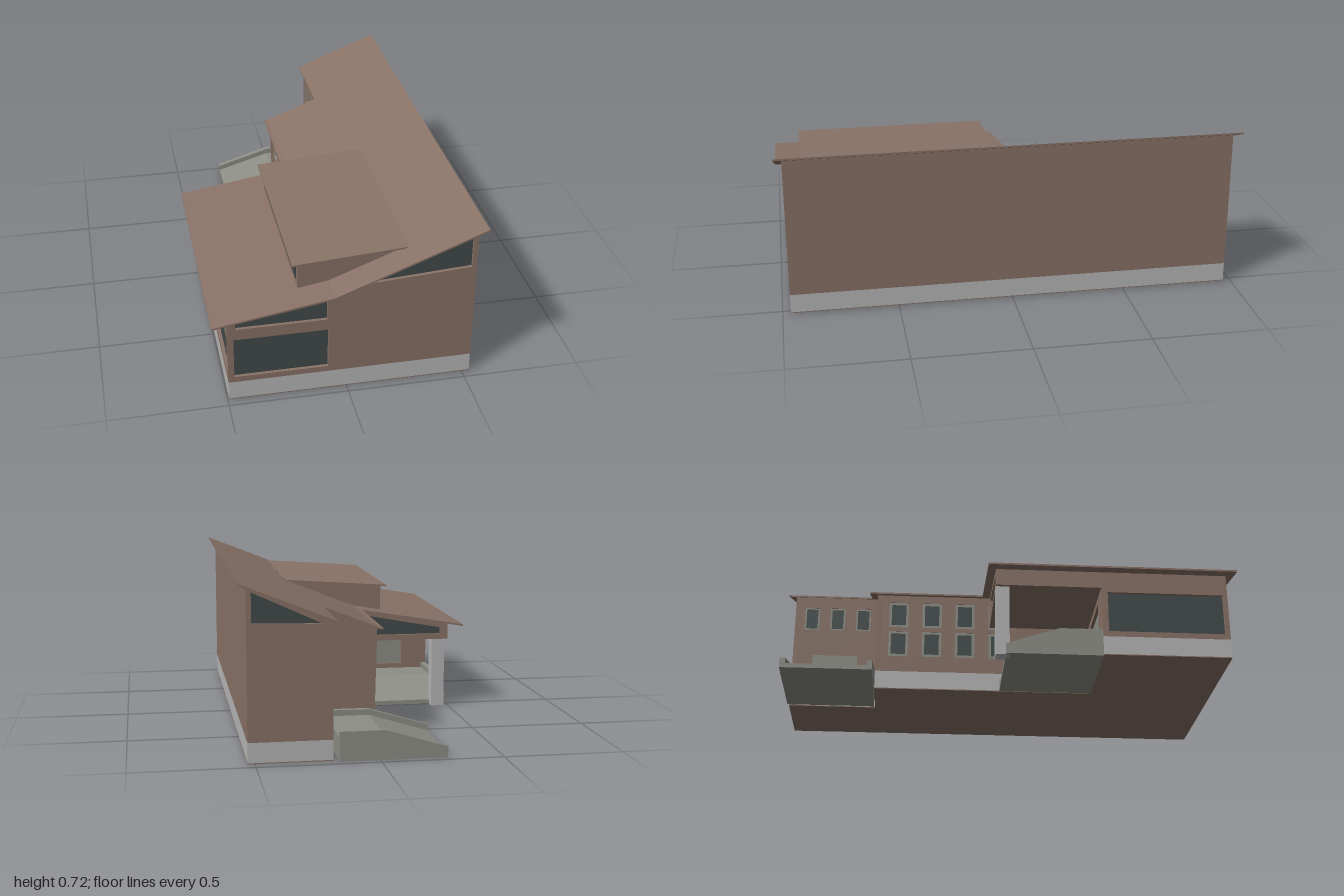
import * as THREE from 'three';

const mat = (name, color, side = THREE.FrontSide) => {
  const m = new THREE.MeshStandardMaterial({ color, side });
  m.name = name;
  return m;
};

export function createModel() {
  const model = new THREE.Group();
  model.name = 'house';
  const brown = mat('brown cladding', 0x8a7367);
  const concrete = mat('light concrete', 0xb8b8b8);
  const glass = mat('dark glass', 0x424b4a, THREE.DoubleSide);
  const stone = mat('green grey stone', 0x8d8f86);

  const toShape = (pts) => new THREE.Shape(pts.map(([x, y]) => new THREE.Vector2(x, y)));
  const rect = (u0, u1, v0, v1) => [[u0, v0], [u1, v0], [u1, v1], [u0, v1]];
  const add = (parent, name, geometry, material) => {
    const mesh = new THREE.Mesh(geometry, material);
    mesh.name = name;
    parent.add(mesh);
    return mesh;
  };
  // Prism from a side profile, running from z0 to z1
  const prism = (pts, z0, z1, holes = []) => {
    const s = toShape(pts);
    holes.forEach((h) => s.holes.push(toShape(h)));
    return new THREE.ExtrudeGeometry(s, { depth: z1 - z0, bevelEnabled: false }).translate(0, 0, z0);
  };

  // Roof line: shallow slope on the low side, steeper on the high side
  const roofY = (x) => (x < -0.06 ? 0.393 + (x + 0.56) * 0.164 : 0.475 + (x + 0.06) * 0.395);
  const T = 0.008;
  const wallTop = (x) => roofY(x) - T;

  // Wall with openings; the outer face lies at local z = 0, panes sit back in it
  const wall = (name, outline, position, turn, openings = [], { pane = glass, trim = 0 } = {}) => {
    const g = new THREE.Group();
    g.name = name;
    add(g, name + 'Panel', prism(outline, -0.02, 0, openings), brown);
    openings.forEach((o) => {
      add(g, name + 'Pane', new THREE.ShapeGeometry(toShape(o)).translate(0, 0, -0.014), pane);
      if (trim) {
        const [[u0, v0], , [u1, v1]] = o;
        const inner = rect(u0 + trim, u1 - trim, v0 + trim, v1 - trim);
        add(g, name + 'Frame', prism(o, -0.012, -0.002, [inner]), stone);
      }
    });
    g.position.set(...position);
    g.rotation.y = turn;
    model.add(g);
  };
  const flip = (pts) => pts.map(([x, y]) => [-x, y]).reverse();
  const LEFT = -Math.PI / 2, BACK = Math.PI;
  const B = 0.09; // top of the foundation

  // Stepped floor plan, as [x, -z] so it can be laid flat
  const plan = [[-0.495, -0.965], [0.53, -0.965], [0.53, 0.965], [0.19, 0.965],
    [0.19, 0.565], [-0.05, 0.565], [-0.05, -0.415], [-0.495, -0.415]];
  add(model, 'floor', prism(plan, 0.004, 0.008).rotateX(-Math.PI / 2), brown);
  add(model, 'foundation', prism(plan, 0.008, B).rotateX(-Math.PI / 2), concrete);

  // Front wall with its three windows
  wall('frontWall', [[-0.495, B], [0.53, B], [0.53, wallTop(0.53)], [-0.06, wallTop(-0.06)], [-0.495, wallTop(-0.495)]],
    [0, 0, 0.965], 0, [
      rect(-0.47, -0.08, 0.115, 0.3),
      [[-0.46, 0.35], [-0.085, 0.35], [-0.085, 0.443], [-0.46, 0.375]],
      [[0.06, 0.5], [0.51, 0.53], [0.51, 0.683]],
    ]);

  // Plain tall side wall
  wall('tallSideWall', rect(-0.965, 0.965, B, wallTop(0.53)), [0.53, 0, 0], Math.PI / 2);

  // Back gable with a wedge window
  wall('backWall', flip([[0.19, B], [0.53, B], [0.53, wallTop(0.53)], [0.19, wallTop(0.19)]]),
    [0, 0, -0.965], BACK, [flip([[0.23, 0.555], [0.51, 0.56], [0.51, 0.683]])]);

  // Back wing side: three windows and a door
  wall('wingWall', rect(-0.965, -0.565, B, wallTop(0.19)), [0.19, 0, 0], LEFT,
    [-0.885, -0.763, -0.64].map((z) => rect(z - 0.035, z + 0.035, 0.395, 0.51)), { trim: 0.008 });
  add(model, 'wingDoor', new THREE.BoxGeometry(0.008, 0.16, 0.21).translate(0.187, 0.18, -0.765), stone);
  wall('stepWall', flip([[-0.05, B], [0.19, B], [0.19, wallTop(0.19)], [-0.06, wallTop(-0.06)]]),
    [0, 0, -0.565], BACK);

  // Long inner wall with two rows of windows
  const rows = [];
  for (const z of [-0.465, -0.312, -0.16, -0.005]) {
    rows.push(rect(z - 0.045, z + 0.045, 0.31, 0.435), rect(z - 0.045, z + 0.045, 0.165, 0.29));
  }
  wall('innerWall', rect(-0.565, 0.415, B, wallTop(-0.05)), [-0.05, 0, 0], LEFT, rows, { trim: 0.012 });

  // Low side wall and entrance wall
  wall('lowSideWall', rect(0.415, 0.965, B, wallTop(-0.495)), [-0.495, 0, 0], LEFT,
    [rect(0.44, 0.945, 0.115, 0.3)]);
  wall('entranceWall', flip([[-0.495, B], [-0.05, B], [-0.05, wallTop(-0.06)], [-0.495, wallTop(-0.495)]]),
    [0, 0, 0.415], BACK, [flip(rect(-0.37, -0.12, 0.12, 0.3))], { pane: stone });

  // Enclosed porch gable over the entrance, carried by one post
  wall('porchGable', flip([[-0.495, 0.32], [-0.05, 0.32], [-0.05, wallTop(-0.06)], [-0.495, wallTop(-0.495)]]),
    [0, 0, -0.045], BACK, [flip([[-0.46, 0.345], [-0.085, 0.345], [-0.085, 0.443], [-0.46, 0.375]])]);
  wall('porchSide', rect(-0.045, 0.415, 0.32, wallTop(-0.495)), [-0.495, 0, 0], LEFT);
  add(model, 'porchSoffit', new THREE.BoxGeometry(0.44, 0.008, 0.455).translate(-0.272, 0.325, 0.185), brown);
  add(model, 'porchPost', new THREE.BoxGeometry(0.06, 0.32, 0.06).translate(-0.45, 0.16, -0.015), concrete);

  // Main roof in three stepped strips: [left edge, z start, z end]
  for (const [x0, z0, z1] of [[0.175, -1, -0.6], [-0.08, -0.6, -0.08], [-0.56, -0.08, 1]]) {
    const xs = x0 < -0.06 ? [x0, -0.06, 0.56] : [x0, 0.56];
    const under = xs.map((x) => [x, roofY(x) - T]);
    const over = xs.map((x) => [x, roofY(x)]).reverse();
    add(model, 'roof', prism([...under, ...over], z0, z1), brown);
  }

  // Dormer with a strip window and a thin roof
  add(model, 'dormerBody', prism([[-0.19, 0.445], [-0.06, 0.465], [0.25, 0.59], [0.25, 0.599], [-0.19, 0.566]], 0.05, 0.87), brown);
  add(model, 'dormerWindow', new THREE.BoxGeometry(0.006, 0.07, 0.76).translate(-0.191, 0.518, 0.46), glass);
  add(model, 'dormerRoof', prism([[-0.215, 0.565], [0.26, 0.597], [0.265, 0.605], [-0.215, 0.572]], 0.03, 0.885), brown);

  // Ramp with a level landing, a sloping deck and two low side walls
  const ramp = (name, length, width, position, turn) => {
    const side = (drop) => [[0, 0], [length, 0], [length, 0.045 - drop], [0.185, 0.122 - drop], [0, 0.122 - drop]];
    const g = new THREE.Group();
    g.name = name;
    add(g, name + 'Deck', prism(side(0.025), 0.025, width - 0.025), stone);
    for (const z of [0, width - 0.025]) add(g, name + 'SideWall', prism(side(0), z, z + 0.025), stone);
    g.position.set(...position);
    g.rotation.y = turn;
    model.add(g);
  };
  ramp('backRamp', 0.44, 0.4, [0.165, 0, -0.57], Math.PI);
  ramp('entranceRamp', 0.415, 0.43, [-0.495, 0, 0.414], Math.PI / 2);

  return model;
}
